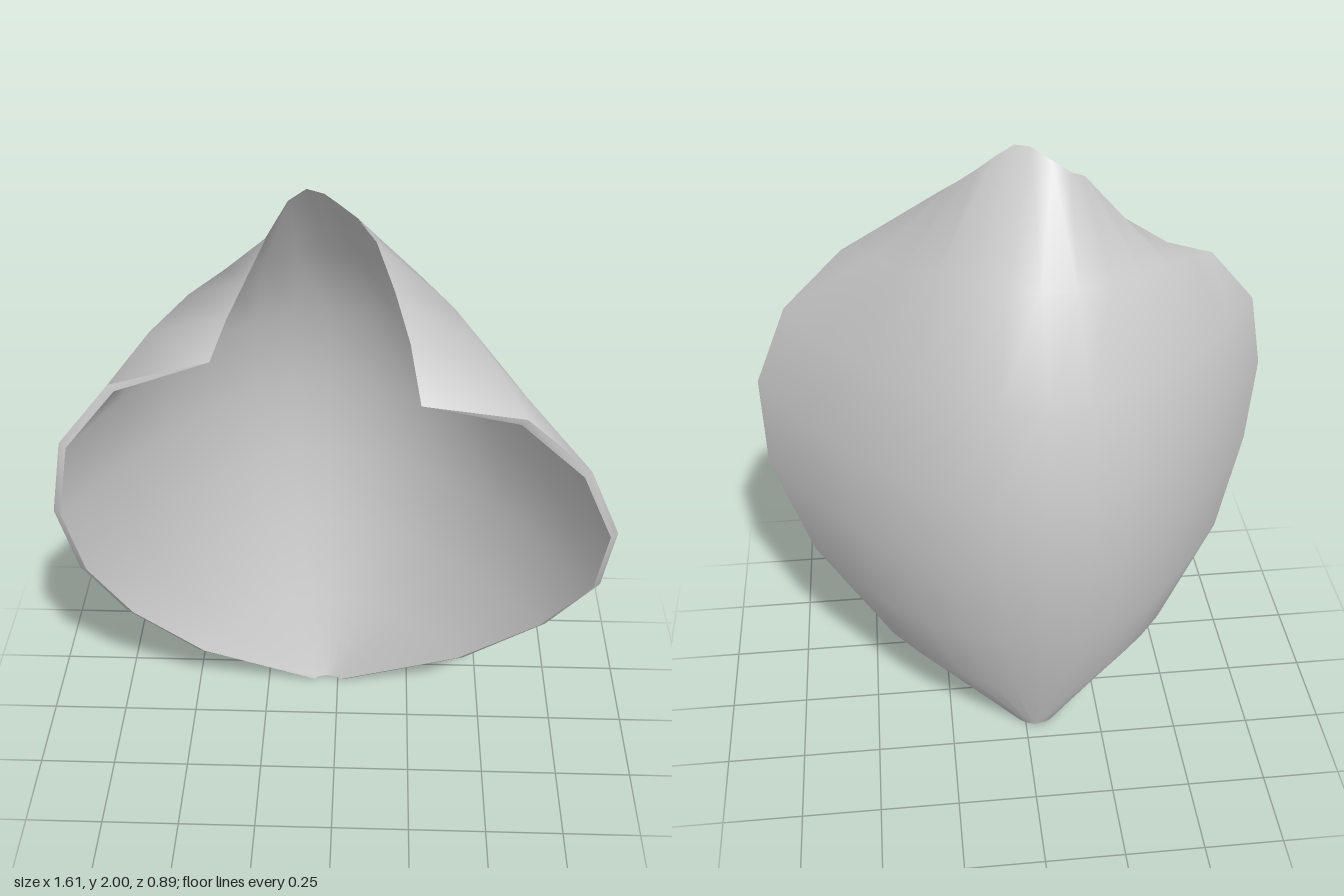
import * as THREE from 'three';

const COLS = 12, THICK = 0.025;

// Rows from base to shoulder: [left x, left z, right x, right z, edge y, spine x, spine y, spine z]
const ROWS = [
  [-0.09, -0.17, 0.02, -0.165, 0.00, -0.035, 0.00, -0.19],
  [-0.47, -0.01, 0.43, 0.00, 0.29, -0.03, 0.29, -0.30],
  [-0.67, 0.11, 0.67, 0.13, 0.58, -0.03, 0.575, -0.385],
  [-0.77, 0.22, 0.795, 0.25, 0.86, -0.03, 0.86, -0.435],
  [-0.805, 0.275, 0.805, 0.325, 1.12, -0.03, 1.14, -0.445],
  [-0.76, 0.275, 0.70, 0.36, 1.36, -0.03, 1.43, -0.39],
  [-0.61, 0.25, 0.51, 0.38, 1.54, -0.03, 1.71, -0.26],
];

// Curled upper rim, from the left-hand corner over the tip to the other corner
const RIM = [
  [-0.33, 1.62, 0.255], [-0.285, 1.72, 0.20], [-0.235, 1.81, 0.15], [-0.185, 1.89, 0.07],
  [-0.13, 1.95, -0.03], [-0.08, 1.985, -0.03], [-0.03, 2.00, 0.03],
  [0.01, 1.99, 0.07], [0.06, 1.955, 0.08], [0.11, 1.905, 0.11], [0.16, 1.82, 0.22],
  [0.20, 1.74, 0.34], [0.23, 1.62, 0.445],
];

// Parabolic cross-section through the two edges and the spine
function section([lx, lz, rx, rz, ey, cx, cy, cz]) {
  return Array.from({ length: COLS + 1 }, (_, i) => {
    const t = (i / COLS) * 2 - 1, a = Math.abs(t);
    const ex = t < 0 ? lx : rx, ez = t < 0 ? lz : rz;
    return [cx + (ex - cx) * a, cy + (ey - cy) * a ** 3, cz + (ez - cz) * a * a];
  });
}

// Joins rows of points into a smooth sheet
function sheet(rows, flip) {
  const n = rows[0].length, index = [];
  for (let r = 0; r < rows.length - 1; r++) {
    for (let c = 0; c < n - 1; c++) {
      const a = r * n + c, b = a + 1, d = a + n, e = d + 1;
      index.push(...(flip ? [a, d, b, b, d, e] : [a, b, d, b, e, d]));
    }
  }
  const geo = new THREE.BufferGeometry();
  geo.setAttribute('position', new THREE.Float32BufferAttribute(rows.flat(2), 3));
  geo.setIndex(index);
  geo.computeVertexNormals();
  return geo;
}

export function createModel() {
  const group = new THREE.Group();
  group.name = 'petal';
  const material = new THREE.MeshStandardMaterial({ color: 0xcccccc, side: THREE.DoubleSide });
  material.name = 'pale grey';
  const add = (geo, name) => {
    const mesh = new THREE.Mesh(geo, material);
    mesh.name = name;
    group.add(mesh);
  };

  // Outer skin
  const outer = [...ROWS.map(section), RIM];
  const outerGeo = sheet(outer, true);
  add(outerGeo, 'outerSurface');

  // Inner skin, set in along the normals and merging into the upper rim
  const normal = outerGeo.attributes.normal;
  const inner = outer.map((row, r) => row.map((p, c) => {
    const k = r * (COLS + 1) + c;
    const d = r === outer.length - 1 ? 0.002 : r === 0 ? 0.012 : THICK;
    return [
      p[0] - normal.getX(k) * d,
      Math.max(0, p[1] - normal.getY(k) * d),
      p[2] - normal.getZ(k) * d,
    ];
  }));
  add(sheet(inner, false), 'innerSurface');

  // Narrow edges closing the two skins
  for (const [name, c] of [['rightEdge', 0], ['leftEdge', COLS]]) {
    add(sheet([outer.map((r) => r[c]), inner.map((r) => r[c])], c === 0), name);
  }
  add(sheet([outer[0], inner[0]], false), 'baseEdge');
  return group;
}
